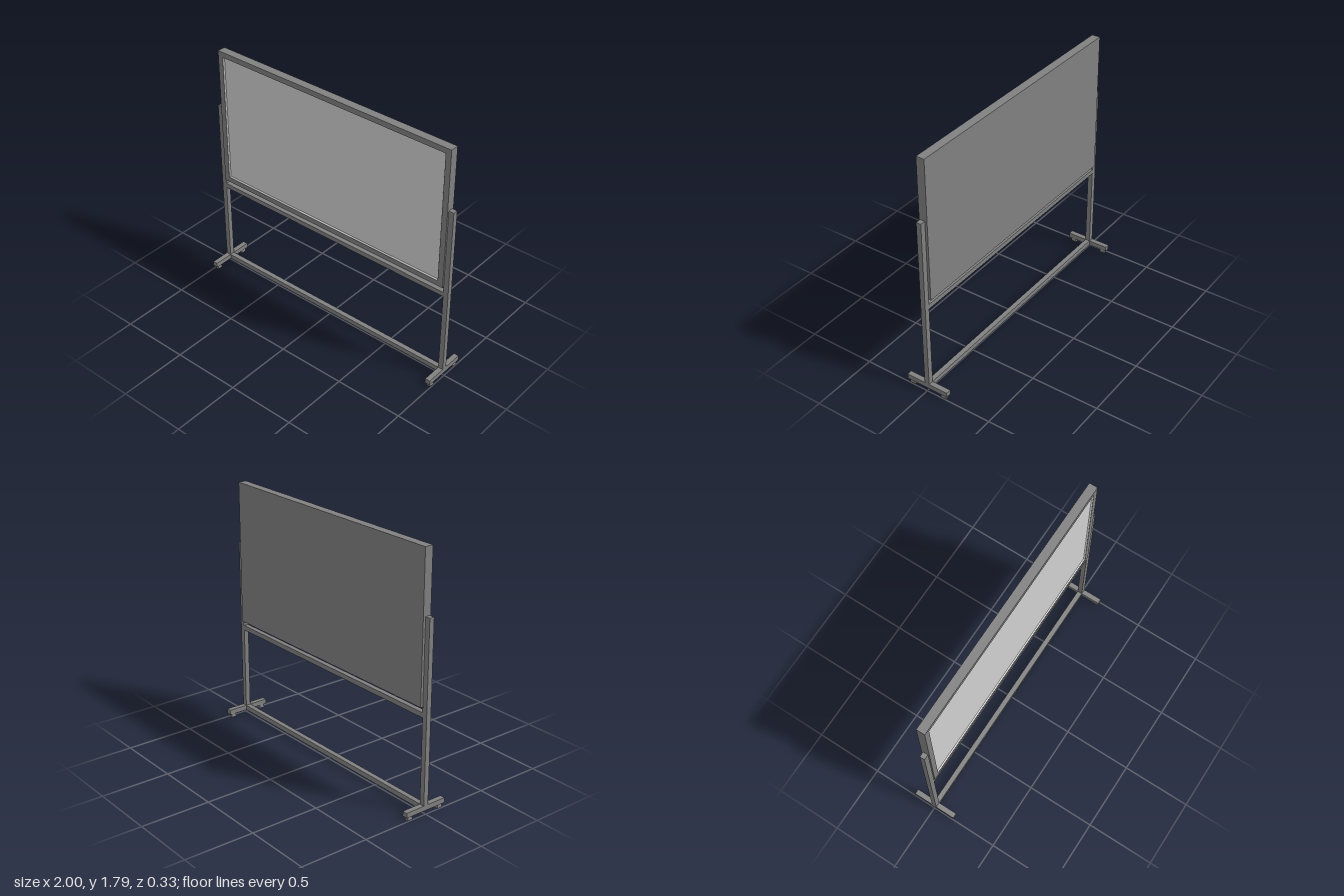
import * as THREE from 'three';

export function createModel() {
  const model = new THREE.Group();
  model.name = 'mobileWhiteboard';

  const frameGrey = new THREE.MeshStandardMaterial({ color: 0x808080 });
  frameGrey.name = 'frame grey';
  const boardGrey = new THREE.MeshStandardMaterial({ color: 0xd0d0d0 });
  boardGrey.name = 'board light grey';

  const add = (name, geometry, material, x, y, z) => {
    const mesh = new THREE.Mesh(geometry, material);
    mesh.name = name;
    mesh.position.set(x, y, z);
    model.add(mesh);
    return mesh;
  };
  // box given by its minimum and maximum corners
  const box = (name, [x0, y0, z0], [x1, y1, z1], material = frameGrey) =>
    add(name, new THREE.BoxGeometry(x1 - x0, y1 - y0, z1 - z0), material,
      (x0 + x1) / 2, (y0 + y1) / 2, (z0 + z1) / 2);

  const back = -0.034, front = 0.027, recess = 0.017;
  const midY = 1.267, halfW = 0.96, halfH = 0.521;
  const holeW = 0.919, holeH = 0.482, lip = 0.007;

  // solid backing with a raised border around the writing surface
  box('boardBacking', [-halfW, midY - halfH, back], [halfW, midY + halfH, recess - 0.004]);
  const rect = (shape, w, h) =>
    shape.moveTo(-w, -h).lineTo(w, -h).lineTo(w, h).lineTo(-w, h).closePath();
  const border = rect(new THREE.Shape(), halfW, halfH);
  border.holes.push(rect(new THREE.Path(), holeW, holeH));
  add('boardFrame', new THREE.ExtrudeGeometry(border, {
    depth: front - recess + 0.004, bevelEnabled: false,
  }), frameGrey, 0, midY, recess - 0.004);

  // writing surface and its sloped edge
  const panelW = holeW - lip, panelH = holeH - lip;
  box('writingSurface', [-panelW, midY - panelH, recess - 0.004], [panelW, midY + panelH, recess], boardGrey);
  const corners = [[-1, -1], [1, -1], [1, 1], [-1, 1]];
  const slope = [];
  corners.forEach(([ax, ay], i) => {
    const [bx, by] = corners[(i + 1) % 4];
    const a = [ax * holeW, ay * holeH, front - 0.001], b = [bx * holeW, by * holeH, front - 0.001];
    const c = [bx * panelW, by * panelH, recess], d = [ax * panelW, ay * panelH, recess];
    slope.push(...a, ...b, ...c, ...a, ...c, ...d);
  });
  const edge = new THREE.BufferGeometry();
  edge.setAttribute('position', new THREE.Float32BufferAttribute(slope, 3));
  edge.computeVertexNormals();
  add('writingSurfaceEdge', edge, boardGrey, 0, midY, 0);

  // cross rails
  const half = 0.018, inner = 0.963;
  box('middleRail', [-inner, 0.673, -half], [inner, 0.708, half]);
  box('bottomRail', [-inner, 0.028, -half], [inner, 0.064, half]);

  // posts, feet and tapered glides on both sides
  for (const side of [-1, 1]) {
    const label = side > 0 ? 'left' : 'right';
    const cx = side * 0.981;
    box(label + 'Post', [cx - 0.019, 0.064, -half], [cx + 0.019, 1.345, half]);
    box(label + 'Foot', [cx - 0.019, 0.028, -0.163], [cx + 0.019, 0.064, 0.163]);
    for (const end of [-1, 1]) {
      const glide = new THREE.BoxGeometry(0.028, 0.028, 0.042);
      const p = glide.attributes.position;
      for (let i = 0; i < p.count; i++) {
        if (p.getY(i) > 0) p.setXYZ(i, p.getX(i) * 0.75, p.getY(i), p.getZ(i) * 0.75);
      }
      glide.computeVertexNormals();
      add(label + (end > 0 ? 'FrontGlide' : 'BackGlide'), glide, frameGrey, cx, 0.014, end * 0.128);
    }
  }
  return model;
}
